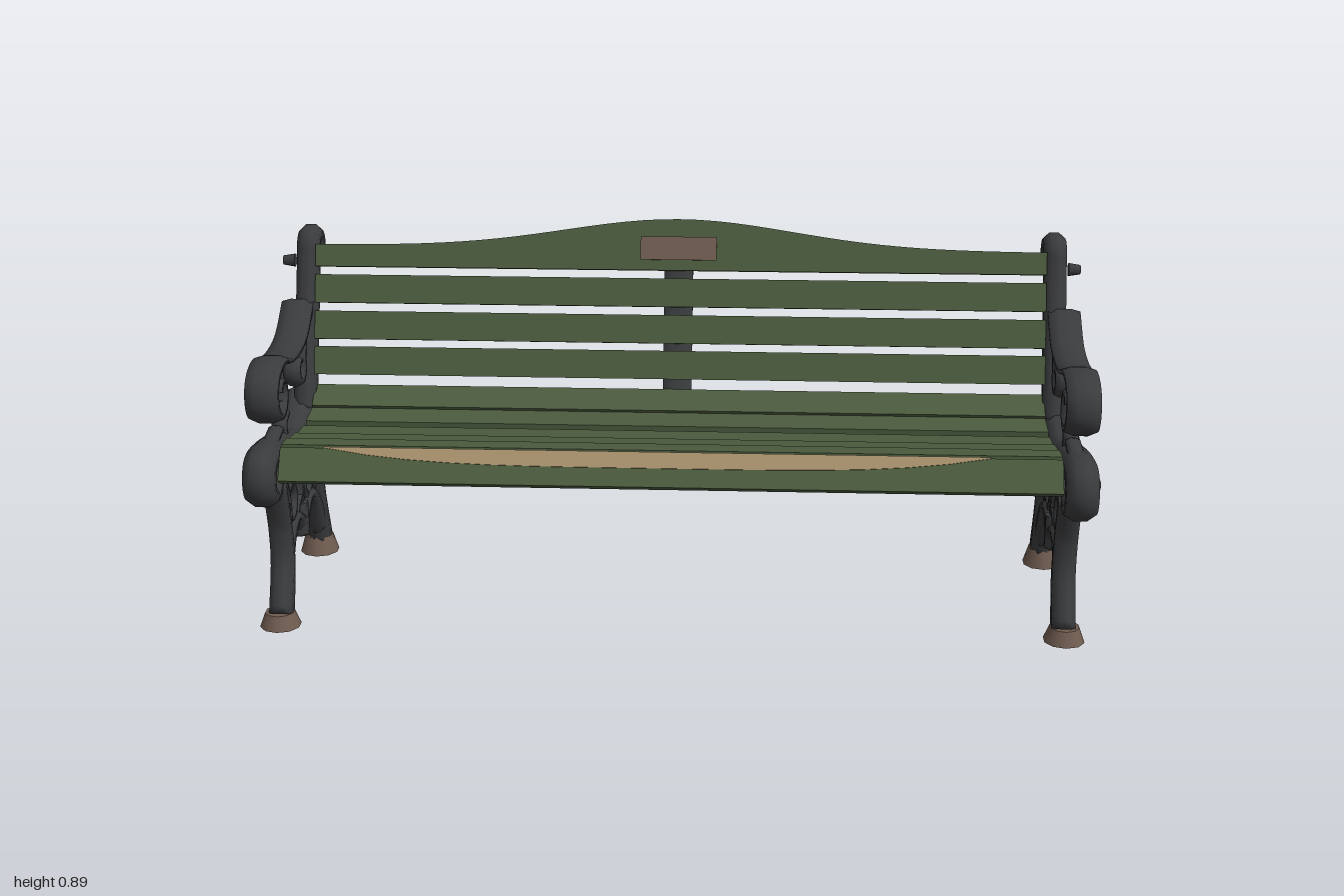
import * as THREE from 'three';

const mat = (name, color) => Object.assign(new THREE.MeshStandardMaterial({ color }), { name });

// Points [z, y] of a spiral, angles in degrees from +z towards +y
function spiral(z, y, r0, r1, from, to) {
  const n = Math.ceil(Math.abs(to - from) / 40);
  return Array.from({ length: n + 1 }, (_, i) => {
    const t = i / n, r = r0 + (r1 - r0) * t * t;
    const a = THREE.MathUtils.degToRad(from + (to - from) * t);
    return [z + r * Math.cos(a), y + r * Math.sin(a)];
  });
}

// Cast bar with an eight-sided section swept through [z, y] points.
// Half widths are spread evenly over the length; depth is the half thickness along x.
function bar(points, widths, depth, closed = false) {
  const curve = new THREE.CatmullRomCurve3(points.map(([z, y]) => new THREE.Vector3(0, y, z)), closed);
  const n = points.length * 6, k = 8, pos = [], idx = [];
  for (let i = 0; i <= n; i++) {
    const p = curve.getPoint(i / n), t = curve.getTangent(i / n);
    const f = (i / n) * (widths.length - 1), w0 = Math.floor(f), w1 = Math.ceil(f);
    const w = THREE.MathUtils.lerp(widths[w0], widths[w1], f - w0) * 1.08;
    for (let j = 0; j < k; j++) {
      const a = ((j + 0.5) / k) * Math.PI * 2, s = w * Math.sin(a);
      pos.push(1.08 * depth * Math.cos(a), p.y + s * t.z, p.z - s * t.y);
    }
    if (i === n) break;
    for (let j = 0; j < k; j++) {
      const a = i * k + j, b = i * k + (j + 1) % k;
      idx.push(a, b, a + k, b, b + k, a + k);
    }
  }
  for (let j = 1; j < k - 1; j++) idx.push(0, j + 1, j, n * k, n * k + j, n * k + j + 1);
  const g = new THREE.BufferGeometry();
  g.setAttribute('position', new THREE.Float32BufferAttribute(pos, 3));
  g.setIndex(idx);
  g.computeVertexNormals();
  return g;
}

export function createModel() {
  const iron = mat('dark cast iron', 0x3a3b3d);
  const green = mat('green paint', 0x4b5b3e);
  const rust = mat('rusty brown', 0x6f5c50);
  const worn = mat('worn bare wood', 0xa58f6a);

  const model = new THREE.Group();
  model.name = 'parkBench';

  const add = (parent, name, geometry, material, x = 0, y = 0, z = 0, tilt = 0) => {
    const m = new THREE.Mesh(geometry, material);
    m.name = name;
    m.position.set(x, y, z);
    m.rotation.x = tilt;
    parent.add(m);
    return m;
  };

  // Front and rear filigree mirror each other about z = 0.01
  const flip = ([z, y]) => [0.02 - z, y];

  function endFrame(side) {
    const frame = new THREE.Group();
    frame.name = side > 0 ? 'leftEndFrame' : 'rightEndFrame';
    frame.position.x = side * 0.95;
    model.add(frame);
    const cast = (name, depth, out, widths, points) =>
      add(frame, name, bar(points, widths, depth), iron, side * out);
    const castPair = (name, widths, points) => {
      cast(name + 'Front', 0.015, -0.01, widths, points);
      cast(name + 'Rear', 0.015, -0.01, widths, points.map(flip));
    };

    // Back post, seat rail and armrest, each ending in a scroll
    cast('backPost', 0.028, -0.012, [0.03, 0.026, 0.026, 0.02, 0.013],
      [[-0.13, 0.42], [-0.165, 0.53], [-0.218, 0.67], [-0.26, 0.785], ...spiral(-0.299, 0.802, 0.033, 0.024, 30, 330)]);
    cast('seatRail', 0.038, 0.005, [0.021, 0.024, 0.032, 0.025, 0.014],
      [[-0.165, 0.455], [-0.1, 0.418], [0, 0.4], [0.1, 0.42], [0.2, 0.436], ...spiral(0.28, 0.39, 0.05, 0.028, 90, -190)]);
    cast('seatRailStub', 0.034, 0, [0.014, 0.008], [[-0.14, 0.45], [-0.215, 0.456]]);
    cast('armrest', 0.04, 0.01, [0.016, 0.012, 0.018, 0.013, 0.01],
      [[-0.205, 0.68], [-0.11, 0.622], [-0.02, 0.608], [0.06, 0.613], [0.13, 0.632],
        ...spiral(0.175, 0.565, 0.06, 0.012, 70, -330)]);
    cast('armScrollTie', 0.025, 0.005, [0.01, 0.011], [[0.13, 0.625], [0.123, 0.575], [0.145, 0.535]]);
    cast('rearArmScroll', 0.022, 0, [0.014, 0.013, 0.01],
      [[-0.14, 0.615], ...spiral(-0.08, 0.552, 0.04, 0.014, 170, 470)]);
    cast('seatHook', 0.018, 0, [0.014, 0.011], [[0.105, 0.43], [0.113, 0.468], [0.076, 0.486]]);
    cast('seatLeaf', 0.018, 0, [0.012, 0.01], [[0.225, 0.455], [0.15, 0.468]]);

    // Legs and the arch between them
    cast('frontLeg', 0.028, -0.01, [0.038, 0.026, 0.014, 0.02],
      [[0.25, 0.03], [0.205, 0.15], [0.212, 0.24], [0.245, 0.36]]);
    cast('rearLeg', 0.028, -0.01, [0.034, 0.015, 0.012, 0.018],
      [[-0.228, 0.04], [-0.185, 0.17], [-0.16, 0.29], [-0.155, 0.43]]);
    const arch = [[0.235, 0.07], [0.145, 0.193], [0.085, 0.214], [0.042, 0.195]];
    cast('lowerArch', 0.022, -0.01, [0.026, 0.014, 0.024, 0.014, 0.026],
      [...arch, [0.01, 0.172], ...arch.map(flip).reverse()]);
    cast('centreDrop', 0.025, -0.01, [0.02, 0.026, 0.018], [[0.017, 0.23], [0.017, 0.143]]);

    // Filigree
    castPair('crossBranch', [0.016, 0.018], [[0.127, 0.39], [0.065, 0.355], [0.027, 0.31], [0.015, 0.22]]);
    castPair('flowerLeaf', [0.01, 0.014], [[0.015, 0.25], [0.05, 0.237], [0.072, 0.215]]);
    cast('frontStay', 0.015, -0.01, [0.013, 0.012], [[0.215, 0.39], [0.167, 0.32], [0.145, 0.25], [0.2, 0.17]]);
    cast('upperVine', 0.014, -0.01, [0.012, 0.011], [[0.21, 0.385], [0.06, 0.367]]);
    for (const [z, y, r] of [[0.115, 0.268, 0.042], [-0.07, 0.262, 0.04], [0.135, 0.34, 0.03],
      [-0.118, 0.362, 0.028], [-0.128, 0.235, 0.022]]) {
      const ring = spiral(z, y, r, r, 0, 320);
      add(frame, 'filigreeRing', bar(ring, [0.01], 0.014, true), iron, -side * 0.01);
    }

    // Worn feet
    for (const [z, h] of [[0.251, 0.036], [-0.228, 0.046]]) {
      add(frame, 'foot', new THREE.CylinderGeometry(0.036, 0.05, h, 10), rust, -side * 0.006, h / 2, z);
    }
    // Bolt bosses where the slats meet the frame
    for (const [z, y] of [[-0.25, 0.78], [-0.208, 0.63], [-0.185, 0.56], [0.287, 0.41]]) {
      add(frame, 'boltBoss', new THREE.CylinderGeometry(0.012, 0.017, 0.03, 8), iron, side * 0.035, y, z)
        .rotation.z = -side * Math.PI / 2;
    }
  }
  endFrame(1);
  endFrame(-1);

  // Backrest slats follow the lean of the posts
  const lean = -0.314, LENGTH = 1.83;
  const backZ = (y) => -0.15 - 0.325 * (y - 0.5);
  for (const y of [0.543, 0.628, 0.715]) {
    add(model, 'backSlat', new THREE.BoxGeometry(LENGTH, 0.071, 0.024), green, 0, y, backZ(y), lean);
  }

  // Crested top slat
  const crest = new THREE.Shape();
  crest.moveTo(-LENGTH / 2, 0);
  crest.lineTo(LENGTH / 2, 0);
  for (let i = 0; i <= 40; i++) {
    const x = LENGTH * (0.5 - i / 40);
    crest.lineTo(x, 0.055 + 0.073 * Math.exp(-((x / 0.4) ** 2)));
  }
  const crestGeo = new THREE.ExtrudeGeometry(crest, { depth: 0.026, bevelEnabled: false }).translate(0, 0, -0.013);
  add(model, 'crestSlat', crestGeo, green, 0, 0.768, backZ(0.768), lean);
  add(model, 'blankPlate', new THREE.BoxGeometry(0.19, 0.058, 0.006), rust, 0, 0.825, backZ(0.825) + 0.016, lean);

  // Seat slats: z, y, width, tilt
  for (const [z, y, w, tilt] of [[-0.13, 0.455, 0.07, 0.55], [-0.06, 0.424, 0.08, 0.1], [0.045, 0.42, 0.072, -0.07],
    [0.14, 0.437, 0.068, -0.15], [0.226, 0.453, 0.06, -0.08]]) {
    add(model, 'seatSlat', new THREE.BoxGeometry(LENGTH, 0.022, w), green, 0, y, z, tilt);
  }

  // Rolled front slat with its bare patch
  const front = new THREE.Group();
  front.name = 'frontSlat';
  front.position.set(0, 0.424, 0.283);
  front.rotation.x = -0.6;
  model.add(front);
  add(front, 'frontSlatBoard', new THREE.BoxGeometry(LENGTH, 0.082, 0.024), green);
  const patch = new THREE.Shape();
  patch.moveTo(0.78, 0.041);
  for (let i = 0; i <= 16; i++) {
    const t = i / 8 - 1;
    patch.lineTo(0.78 * t, 0.041 - 0.037 * (1 - t ** 4));
  }
  add(front, 'wornFace', new THREE.ExtrudeGeometry(patch.reverse?.() ?? patch, { depth: 0.003, bevelEnabled: false }),
    worn, -0.03, 0, 0.0115);
  add(front, 'wornEdge', new THREE.BoxGeometry(1.56, 0.003, 0.024), worn, -0.03, 0.042, 0.002);

  // Centre strap behind the back and under the seat
  const strap = [[-0.268, 0.8], [-0.172, 0.5], [-0.14, 0.44], [-0.06, 0.406], [0.05, 0.402], [0.23, 0.436], [0.27, 0.39]];
  add(model, 'centreStrap', bar(strap, [0.01], 0.036), iron);
  for (const y of [0.76, 0.63, 0.53]) {
    add(model, 'rustPatch', new THREE.BoxGeometry(0.04, 0.03, 0.005), rust, 0, y, backZ(y) - 0.021, lean);
  }

  return model;
}
